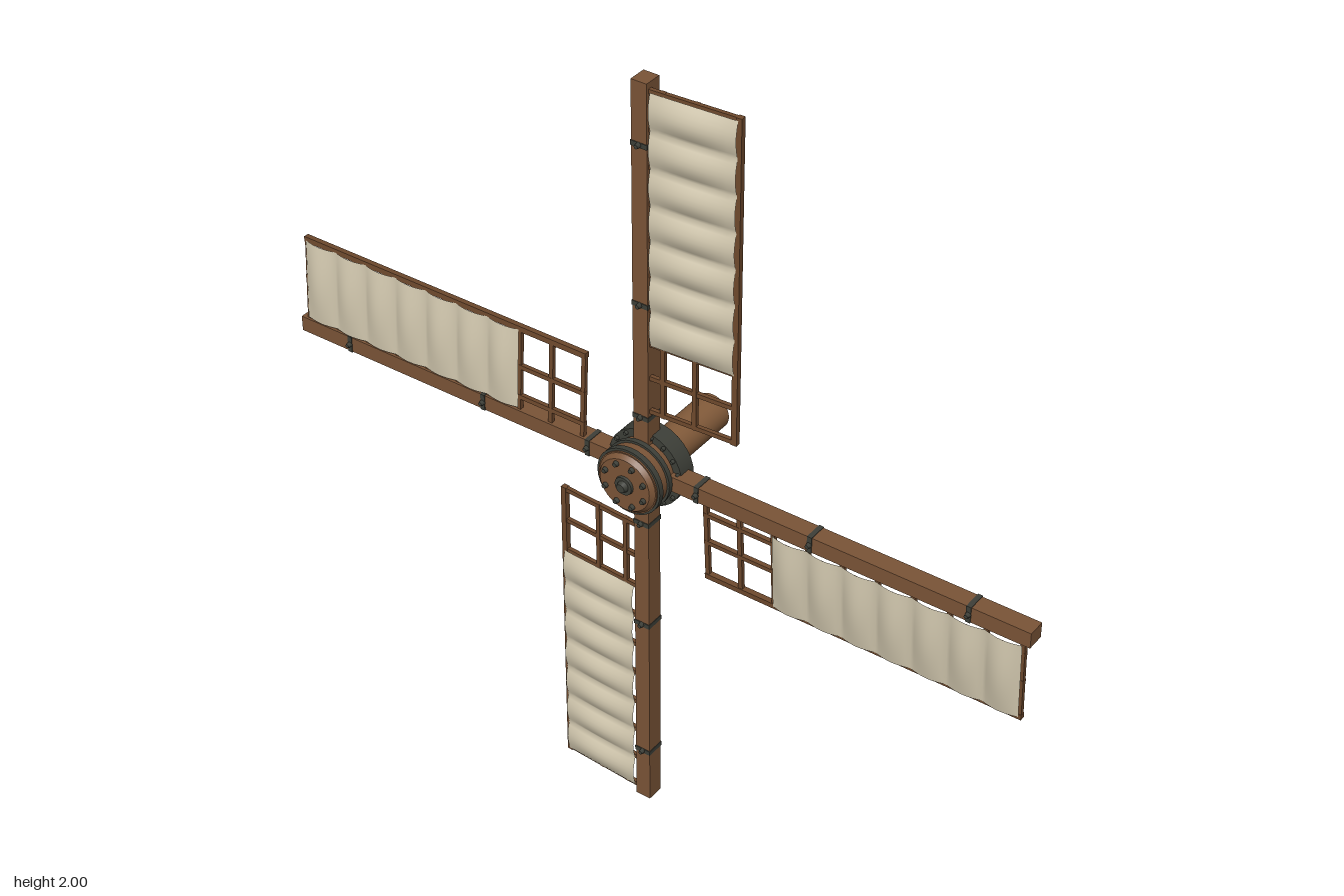
import * as THREE from 'three';

const mat = (name, color, side = THREE.FrontSide) => {
  const m = new THREE.MeshStandardMaterial({ color, side });
  m.name = name;
  return m;
};
const beamWood = mat('beam wood', 0x7a5437);
const latticeWood = mat('lattice wood', 0x6e492d);
const shaftWood = mat('shaft wood', 0x845c3b);
const iron = mat('dark iron', 0x3d3f38);
const canvas = mat('canvas', 0xd0c6ad, THREE.DoubleSide);

function add(parent, name, geometry, material, x = 0, y = 0, z = 0) {
  const mesh = new THREE.Mesh(geometry, material);
  mesh.name = name;
  mesh.position.set(x, y, z);
  parent.add(mesh);
  return mesh;
}

// Cylinder lying along z between two depths
function disc(parent, name, rBack, rFront, z0, z1, material, x = 0, y = 0, sides = 32) {
  const g = new THREE.CylinderGeometry(rFront, rBack, z1 - z0, sides).rotateX(Math.PI / 2);
  return add(parent, name, g, material, x, y, (z0 + z1) / 2);
}

function ringOfBolts(parent, name, count, radius, size, z0, z1) {
  for (let i = 0; i < count; i++) {
    const a = ((i + 0.5) / count) * Math.PI * 2;
    disc(parent, name, size, size * 0.7, z0, z1, iron, Math.cos(a) * radius, Math.sin(a) * radius, 8);
  }
}

const FRAME_START = 0.17, PITCH = 0.09, CELLS = 9, BARE = 2;

// Canvas billowing between the lattice rungs
function sailGeometry() {
  const bands = CELLS - BARE, perBand = 8;
  const y0 = FRAME_START + BARE * PITCH, length = bands * PITCH;
  const g = new THREE.PlaneGeometry(0.21, length, 10, bands * perBand);
  const p = g.attributes.position;
  for (let i = 0; i < p.count; i++) {
    const u = p.getX(i) / 0.21 + 0.5;
    const t = (p.getY(i) / length + 0.5) * bands;
    const bulge = Math.abs(Math.sin(Math.PI * t)) * (0.45 + 0.55 * Math.sin(Math.PI * u));
    p.setZ(i, 0.008 + 0.017 * bulge);
  }
  g.translate(0.13, y0 + length / 2, 0);
  g.computeVertexNormals();
  return g;
}

function makeBlade(sailGeo) {
  const blade = new THREE.Group();
  blade.name = 'blade';
  add(blade, 'spar', new THREE.BoxGeometry(0.04, 0.98, 0.045), beamWood, 0, 0.51, 0.0775);

  // Iron straps with a bolt head on the front
  for (const y of [0.15, 0.45, 0.85]) {
    add(blade, 'strap', new THREE.BoxGeometry(0.043, 0.012, 0.049), iron, 0, y, 0.0775);
    disc(blade, 'strapBolt', 0.007, 0.005, 0.1, 0.112, iron, 0, y, 8);
  }

  // Slightly pitched lattice carrying the sail
  const lattice = new THREE.Group();
  lattice.name = 'lattice';
  lattice.position.z = 0.09;
  lattice.rotation.y = 0.06;
  blade.add(lattice);
  const height = PITCH * CELLS, midY = FRAME_START + height / 2;
  for (const [x, w] of [[0.053, 0.011], [0.134, 0.011], [0.236, 0.014]]) {
    add(lattice, 'rail', new THREE.BoxGeometry(w, height + 0.012, w), latticeWood, x, midY, 0);
  }
  for (let i = 0; i <= CELLS; i++) {
    add(lattice, 'rung', new THREE.BoxGeometry(0.23, 0.011, 0.01), latticeWood, 0.126, FRAME_START + i * PITCH, 0);
  }
  add(lattice, 'sail', sailGeo, canvas);
  return blade;
}

export function createModel() {
  const root = new THREE.Group();
  root.name = 'windmillSails';
  const rotor = new THREE.Group();
  rotor.name = 'rotor';
  rotor.position.y = 1;
  root.add(rotor);

  // Four blades around the hub
  const sailGeo = sailGeometry();
  for (let i = 0; i < 4; i++) {
    const blade = makeBlade(sailGeo);
    blade.rotation.z = -i * Math.PI / 2;
    rotor.add(blade);
  }

  // Axle and hub
  const hub = new THREE.Group();
  hub.name = 'hub';
  rotor.add(hub);
  disc(hub, 'shaft', 0.046, 0.046, -0.18, 0.05, shaftWood);
  disc(hub, 'flange', 0.1, 0.1, 0.037, 0.084, iron);
  ringOfBolts(hub, 'flangeBolt', 16, 0.092, 0.006, 0.08, 0.092);
  disc(hub, 'drum', 0.08, 0.08, 0.08, 0.152, beamWood);
  disc(hub, 'rearBand', 0.086, 0.086, 0.1, 0.112, iron);
  disc(hub, 'frontBand', 0.086, 0.086, 0.134, 0.148, iron);
  disc(hub, 'cap', 0.077, 0.068, 0.152, 0.163, beamWood);
  ringOfBolts(hub, 'capBolt', 8, 0.056, 0.008, 0.16, 0.172);
  disc(hub, 'bossPlate', 0.025, 0.023, 0.16, 0.169, iron, 0, 0, 20);
  disc(hub, 'boss', 0.015, 0.011, 0.168, 0.18, iron, 0, 0, 16);
  return root;
}
